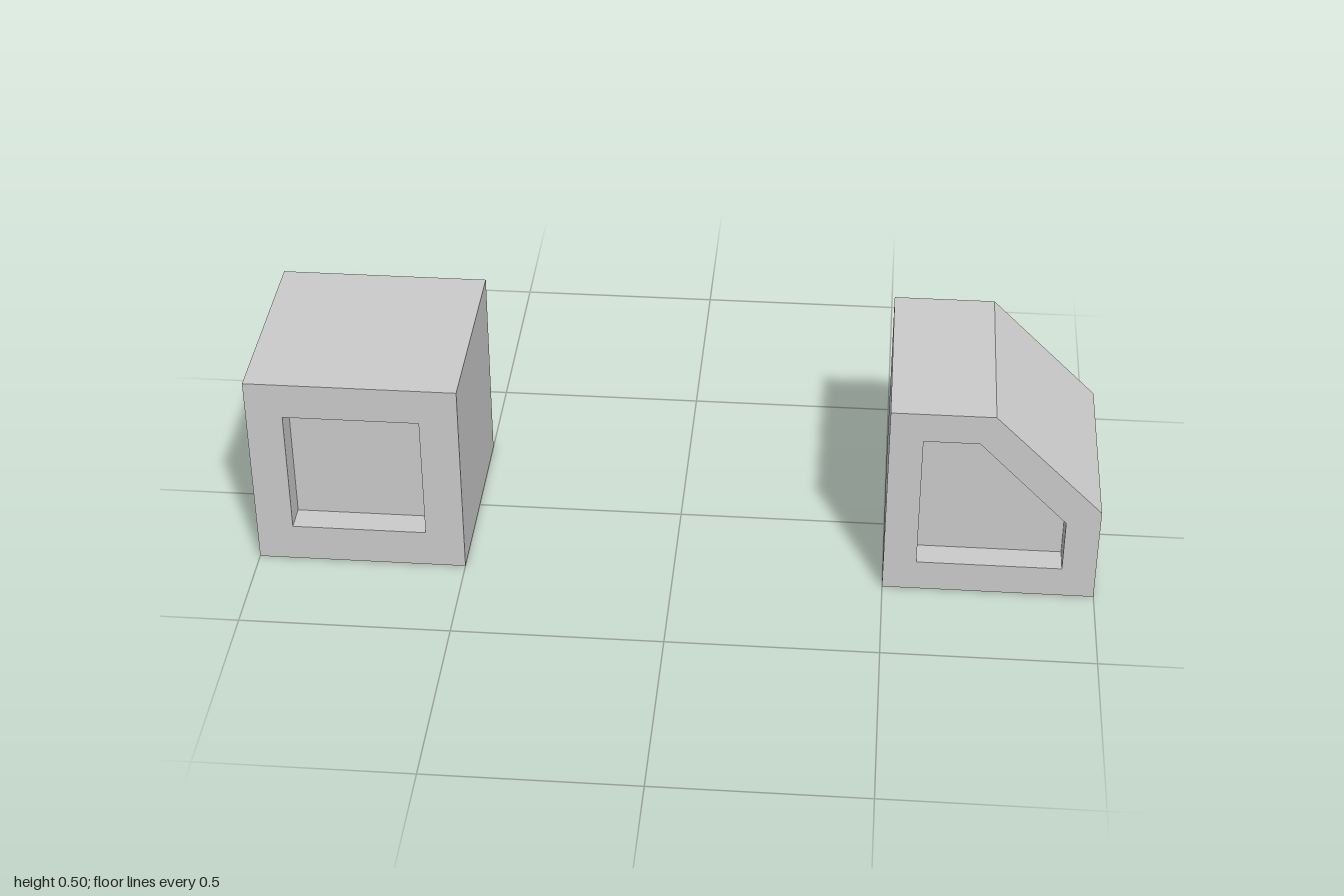
import * as THREE from 'three';

const DEPTH = 0.5;
const RECESS = 0.067;
const material = new THREE.MeshStandardMaterial({ color: 0xcccccc, flatShading: true });

const toPoints = (pairs) => pairs.map(([x, y]) => new THREE.Vector2(x, y));

// Block with the same outline front to back and a shallow recess in each end
function createBlock(name, outline, recess) {
  const block = new THREE.Group();
  block.name = name;

  // Outer frame, pierced by the recess outline
  const shape = new THREE.Shape(toPoints(outline));
  shape.holes.push(new THREE.Path(toPoints(recess)));
  const frameGeometry = new THREE.ExtrudeGeometry(shape, { depth: DEPTH, bevelEnabled: false });
  frameGeometry.translate(0, 0, -DEPTH / 2);
  const frame = new THREE.Mesh(frameGeometry, material);
  frame.name = name + 'Frame';
  block.add(frame);

  // Recessed panels closing the opening at the front and the back
  for (const side of [1, -1]) {
    const mirrored = recess.map(([x, y]) => [side * x, y]);
    const panel = new THREE.Mesh(new THREE.ShapeGeometry(new THREE.Shape(toPoints(mirrored))), material);
    panel.name = name + (side > 0 ? 'FrontPanel' : 'BackPanel');
    panel.position.z = side * (DEPTH / 2 - RECESS);
    if (side < 0) panel.rotation.y = Math.PI;
    block.add(panel);
  }
  return block;
}

export function createModel() {
  const model = new THREE.Group();
  model.name = 'blockPair';

  // Plain cube
  model.add(createBlock('cube',
    [[-1, 0], [-0.5, 0], [-0.5, 0.5], [-1, 0.5]],
    [[-0.913, 0.094], [-0.592, 0.094], [-0.592, 0.41], [-0.913, 0.41]]));

  // Cube with one sloped upper corner
  model.add(createBlock('slopedBlock',
    [[0.5, 0], [1, 0], [1, 0.245], [0.741, 0.5], [0.5, 0.5]],
    [[0.578, 0.078], [0.92, 0.078], [0.92, 0.211], [0.708, 0.425], [0.578, 0.425]]));

  return model;
}
